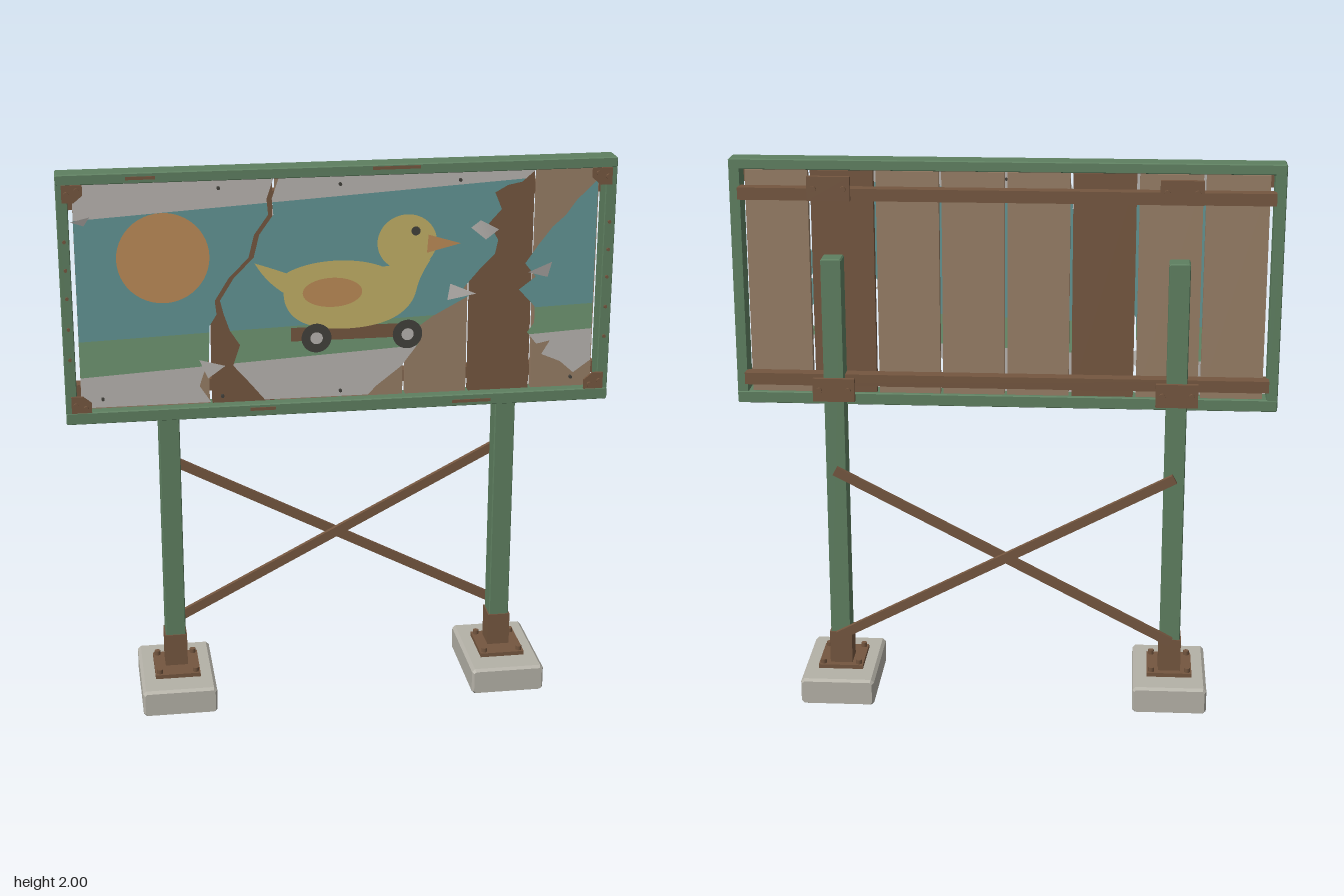
import * as THREE from 'three';

const mat = (name, color, side = THREE.FrontSide) => {
  const m = new THREE.MeshStandardMaterial({ color, side });
  m.name = name;
  return m;
};
const DS = THREE.DoubleSide;
const M = {
  green: mat('weathered green paint', 0x5e7f60),
  rust: mat('rusty brown', 0x74563f),
  tan: mat('faded wood', 0x967d65),
  concrete: mat('concrete', 0xb4b1a7),
  paper: mat('torn paper', 0xb8b4b0, DS),
  teal: mat('poster sky', 0x629594, DS),
  grass: mat('poster grass', 0x6f9672, DS),
  yellow: mat('poster yellow', 0xc2b066, DS),
  orange: mat('poster orange', 0xbd8b57, DS),
  dark: mat('dark iron', 0x42403b, DS),
};

export function createModel() {
  const root = new THREE.Group();
  const add = (name, geo, m, x = 0, y = 0, z = 0, parent = root) => {
    const mesh = new THREE.Mesh(geo, m);
    mesh.name = name;
    mesh.position.set(x, y, z);
    parent.add(mesh);
    return mesh;
  };
  const group = (name) => {
    const g = new THREE.Group();
    g.name = name;
    root.add(g);
    return g;
  };
  const box = (name, m, w, h, d, x, y, z, parent) =>
    add(name, new THREE.BoxGeometry(w, h, d), m, x, y, z, parent);
  const poly = (pts) => new THREE.Shape(pts.map(([x, y]) => new THREE.Vector2(x, y)));

  // Box with a flat chamfer on every edge
  const chamferBox = (name, m, w, h, d, c, x, y, z, parent) => {
    const a = w / 2 - c, b = h / 2 - c, e = c * 0.5;
    const s = poly([[-a, -b - e], [a, -b - e], [a + e, -b], [a + e, b], [a, b + e], [-a, b + e], [-a - e, b], [-a - e, -b]]);
    const geo = new THREE.ExtrudeGeometry(s, { depth: d - 2 * c, bevelEnabled: true, bevelSize: e, bevelThickness: c, bevelSegments: 1 });
    geo.translate(0, 0, c - d / 2);
    return add(name, geo, m, x, y, z, parent);
  };
  const bolt = (name, r, len, x, y, z, parent, upright = false, m = M.rust) => {
    const b = add(name, new THREE.CylinderGeometry(r, r, len, 8), m, x, y, z, parent);
    if (!upright) b.rotation.x = Math.PI / 2;
    return b;
  };

  // Supports, mirrored left and right
  for (const s of [-1, 1]) {
    const g = group(s > 0 ? 'leftSupport' : 'rightSupport');
    const x = s * 0.61;
    chamferBox('footing', M.concrete, 0.27, 0.1, 0.4, 0.014, x, 0.055, 0, g);
    box('basePlate', M.rust, 0.165, 0.016, 0.19, x, 0.112, 0, g);
    box('postSocket', M.rust, 0.082, 0.13, 0.09, x, 0.178, -0.025, g);
    chamferBox('post', M.green, 0.074, 1.46, 0.082, 0.006, x, 0.93, -0.025, g);
    for (const bx of [-1, 1]) for (const bz of [-1, 1])
      bolt('anchorBolt', 0.011, 0.022, x + bx * 0.066, 0.125, bz * 0.077, g, true);
    // Clamp plates behind the rails
    for (const y of [1.912, 1.185]) {
      box('clampPlate', M.rust, 0.15, 0.085, 0.018, x, y, -0.07, g);
      for (const bx of [-1, 1]) bolt('clampBolt', 0.011, 0.07, x + bx * 0.052, y, -0.055, g);
    }
  }

  // Crossed braces
  const len = Math.hypot(1.22, 0.64);
  for (const s of [-1, 1]) {
    const b = box('crossBrace', M.rust, len, 0.034, 0.017, 0, 0.57, s > 0 ? -0.1 : -0.117);
    b.rotation.z = s * Math.atan2(0.64, 1.22);
  }

  // Frame
  const frame = group('frame');
  chamferBox('topBar', M.green, 1.94, 0.037, 0.086, 0.006, 0, 1.9815, 0.037, frame);
  chamferBox('bottomBar', M.green, 1.94, 0.044, 0.086, 0.006, 0, 1.132, 0.037, frame);
  for (const s of [-1, 1]) {
    chamferBox('sideBar', M.green, 0.04, 0.82, 0.08, 0.005, s * 0.95, 1.56, 0.037, frame);
    for (const y of [1.35, 1.46, 1.57, 1.67, 1.77]) bolt('frameNail', 0.006, 0.012, s * 0.948, y, 0.079, frame);
    // L-shaped corner plates
    for (const t of [-1, 1]) {
      const y = t > 0 ? 1.965 : 1.155;
      const px = (a, b) => [s * (0.95 - a), y - t * b];
      const L = poly([px(0, 0), px(0.07, 0), px(0.07, 0.035), px(0.04, 0.06), px(0, 0.06)]);
      add('cornerPlate', new THREE.ExtrudeGeometry(L, { depth: 0.009, bevelEnabled: false }), M.rust, 0, 0, 0.077, frame);
      bolt('cornerBolt', 0.009, 0.014, s * 0.935, y - t * 0.03, 0.088, frame);
      bolt('cornerBolt', 0.009, 0.014, s * 0.9, y - t * 0.018, 0.088, frame);
    }
  }
  // Rust patches on the frame
  for (const [x, y, w] of [[-0.685, 1.982, 0.1], [0.19, 1.989, 0.165], [-0.28, 1.138, 0.09], [0.47, 1.13, 0.14]])
    box('rustPatch', M.rust, w, 0.011, 0.004, x, y, 0.081, frame);

  // Planks and rear rails
  const board = group('board');
  for (let i = 0; i < 8; i++) {
    const darker = i === 2 || i === 6;
    box('plank', darker ? M.rust : M.tan, 0.22, 0.806, 0.03, -0.805 + i * 0.23, 1.557, 0.024, board);
  }
  for (const y of [1.884, 1.212]) box('rearRail', M.rust, 1.87, 0.043, 0.05, 0, y, -0.015, board);

  // Torn poster: keep the side of a polygon above (k=1) or below (k=-1) the line y = a + b x
  const poster = group('poster');
  const Z = 0.042;
  const clip = (pts, a, b, k) => {
    const f = ([x, y]) => k * (y - a - b * x);
    return pts.flatMap((p, i) => {
      const q = pts[(i + 1) % pts.length], u = f(p), v = f(q), out = u >= 0 ? [p] : [];
      if (u * v < 0) {
        const t = u / (u - v);
        out.push([p[0] + t * (q[0] - p[0]), p[1] + t * (q[1] - p[1])]);
      }
      return out;
    });
  };
  const flat = (name, shape, m, layer = 0) =>
    add(name, new THREE.ShapeGeometry(shape, 24), m, 0, 0, Z + layer * 0.002, poster);
  const skyTop = [1.887, 0.06], grassTop = [1.432, 0.035], grassLow = [1.319, 0.055];
  const piece = (pts, hasTop = true) => {
    flat('paperBottom', poly(clip(pts, ...grassLow, -1)), M.paper);
    flat('grass', poly(clip(clip(pts, ...grassLow, 1), ...grassTop, -1)), M.grass);
    const upper = clip(pts, ...grassTop, 1);
    flat('sky', poly(hasTop ? clip(upper, ...skyTop, -1) : upper), M.teal);
    if (hasTop) flat('paperTop', poly(clip(upper, ...skyTop, 1)), M.paper);
  };
  const crack = [[-0.44, 1.53], [-0.39, 1.61], [-0.32, 1.68], [-0.3, 1.76], [-0.25, 1.83], [-0.255, 1.885], [-0.23, 1.958]];
  // Left piece
  piece([[-0.915, 1.158], [-0.46, 1.158], [-0.5, 1.22], [-0.49, 1.25], [-0.465, 1.32], [-0.46, 1.44], [-0.435, 1.48],
    ...crack, [-0.915, 1.958]]);
  // Middle piece
  piece([[-0.27, 1.158], [0.1, 1.158], [0.13, 1.19], [0.22, 1.26], [0.28, 1.34], [0.26, 1.39], [0.33, 1.44], [0.46, 1.51], [0.44, 1.54],
    [0.5, 1.61], [0.55, 1.66], [0.56, 1.71], [0.525, 1.77], [0.57, 1.82], [0.545, 1.88], [0.59, 1.905], [0.64, 1.915], [0.69, 1.958],
    ...crack.map(([x, y]) => [x + 0.018, y]).reverse(),
    [-0.41, 1.48], [-0.39, 1.42], [-0.355, 1.365], [-0.38, 1.29], [-0.32, 1.22]]);
  // Right piece
  piece([[0.912, 1.25], [0.85, 1.205], [0.8, 1.25], [0.73, 1.28], [0.76, 1.33], [0.71, 1.32], [0.675, 1.365], [0.7, 1.4],
    [0.7, 1.46], [0.64, 1.525], [0.7, 1.57], [0.66, 1.62], [0.705, 1.685], [0.755, 1.75], [0.8, 1.79], [0.84, 1.845], [0.912, 1.915]], false);

  // Curled paper scraps
  const scraps = [
    [[0.46, 1.76], [0.49, 1.79], [0.56, 1.75], [0.51, 1.72]],
    [[0.39, 1.56], [0.48, 1.525], [0.38, 1.5]],
    [[0.67, 1.59], [0.75, 1.63], [0.74, 1.57]],
    [[-0.5, 1.32], [-0.41, 1.3], [-0.47, 1.25]],
    [[-0.925, 1.83], [-0.86, 1.85], [-0.88, 1.815]],
  ];
  for (const pts of scraps) {
    const scrap = flat('paperScrap', poly(pts), M.paper, 5);
    const p = scrap.geometry.attributes.position;
    for (let i = 0; i < p.count; i++) p.setZ(i, (i % 2) * 0.018);
    scrap.geometry.computeVertexNormals();
  }

  // Printed picture
  const disc = (name, m, x, y, rx, ry, layer) =>
    flat(name, new THREE.Shape().absellipse(x, y, rx, ry, 0, Math.PI * 2), m, layer);
  disc('sun', M.orange, -0.615, 1.69, 0.16, 0.16, 1);
  flat('cartBoard', poly([[-0.175, 1.37], [0.28, 1.37], [0.27, 1.42], [-0.175, 1.42]]), M.rust, 1);
  const body = new THREE.Shape();
  body.moveTo(-0.3, 1.66);
  body.quadraticCurveTo(-0.24, 1.64, -0.19, 1.62);
  body.bezierCurveTo(-0.1, 1.67, 0.06, 1.67, 0.15, 1.63);
  body.lineTo(0.32, 1.65);
  body.quadraticCurveTo(0.28, 1.59, 0.27, 1.54);
  body.bezierCurveTo(0.25, 1.45, 0.15, 1.41, 0.02, 1.41);
  body.bezierCurveTo(-0.13, 1.41, -0.2, 1.46, -0.2, 1.55);
  body.quadraticCurveTo(-0.26, 1.59, -0.3, 1.66);
  flat('duckBody', body, M.yellow, 2);
  disc('duckHead', M.yellow, 0.235, 1.715, 0.105, 0.1, 3);
  disc('duckWing', M.orange, -0.028, 1.545, 0.105, 0.053, 3);
  disc('duckEye', M.dark, 0.265, 1.755, 0.016, 0.016, 4);
  flat('duckBeak', poly([[0.305, 1.675], [0.425, 1.705], [0.31, 1.74]]), M.orange, 4);
  for (const x of [-0.085, 0.24]) {
    disc('cartWheel', M.dark, x, 1.38, 0.053, 0.053, 3);
    disc('wheelHub', M.paper, x, 1.38, 0.022, 0.022, 4);
  }
  // Poster nails
  for (const [x, y] of [[-0.42, 1.93], [0, 1.93], [0.42, 1.93], [-0.84, 1.19], [-0.42, 1.18], [0, 1.18], [0.84, 1.19]])
    bolt('posterNail', 0.006, 0.012, x, y, Z + 0.004, poster, false, M.dark);

  return root;
}
